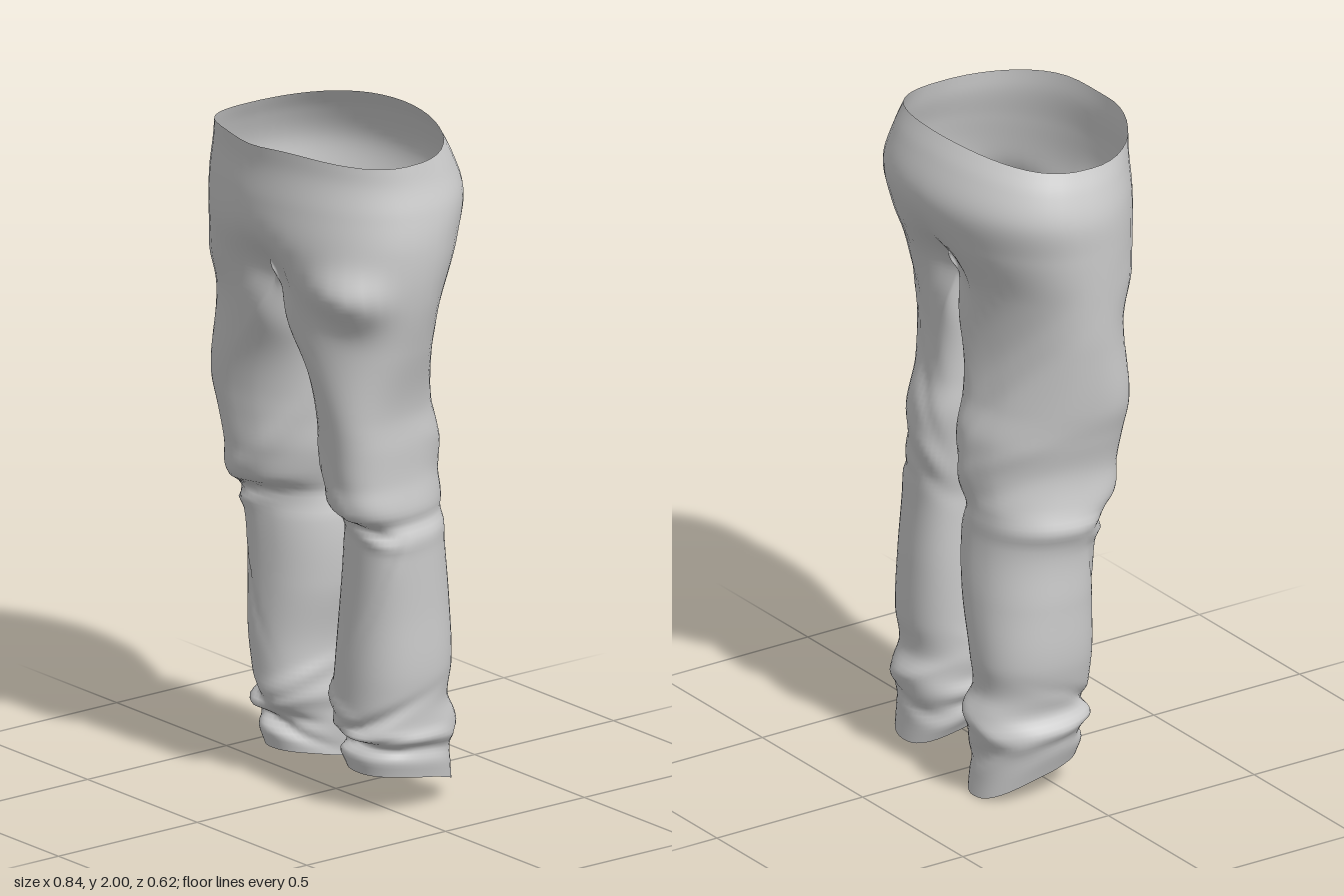
import * as THREE from 'three';
import { mergeVertices } from 'three/addons/utils/BufferGeometryUtils.js';

const { smoothstep } = THREE.MathUtils;
const CROTCH = 1.63, HALF = 26, AROUND = HALF * 2;

// y, left outer x, left inner x, right outer x, right inner x, front z, back z
const PROFILE = [
  [0.05, 0.32, 0.06, 0.29, 0.07, 0.08, -0.235],
  [0.11, 0.33, 0.03, 0.31, 0.065, 0.09, -0.23],
  [0.16, 0.32, 0.04, 0.32, 0.06, 0.07, -0.23],
  [0.21, 0.345, 0.02, 0.34, 0.06, 0.105, -0.24],
  [0.26, 0.335, 0.03, 0.31, 0.05, 0.11, -0.245],
  [0.32, 0.335, 0.02, 0.32, 0.06, 0.11, -0.22],
  [0.42, 0.345, 0.025, 0.34, 0.06, 0.11, -0.23],
  [0.60, 0.345, 0.03, 0.345, 0.025, 0.105, -0.23],
  [0.79, 0.35, 0.035, 0.35, 0.02, 0.105, -0.22],
  [0.84, 0.35, 0.035, 0.37, 0.03, 0.105, -0.22],
  [0.875, 0.335, 0.03, 0.36, 0.04, 0.12, -0.22],
  [0.905, 0.345, 0.025, 0.355, 0.035, 0.16, -0.225],
  [1.00, 0.335, 0.015, 0.345, 0.01, 0.18, -0.23],
  [1.10, 0.335, 0.003, 0.365, 0.003, 0.19, -0.23],
  [1.20, 0.335, 0, 0.39, 0, 0.20, -0.205],
  [1.40, 0.38, 0, 0.41, 0, 0.22, -0.195],
  [1.55, 0.41, 0, 0.415, 0, 0.255, -0.22],
  [1.70, 0.42, 0, 0.42, 0, 0.305, -0.285],
  [1.82, 0.405, 0, 0.42, 0, 0.31, -0.315],
  [1.92, 0.38, 0, 0.395, 0, 0.305, -0.28],
  [1.98, 0.37, 0, 0.37, 0, 0.31, -0.245],
];
const profile = new THREE.CubicInterpolant(
  PROFILE.map((r) => r[0]), PROFILE.flatMap((r) => r.slice(1)), 6, new Float32Array(6));

// Cloth folds: angle (0 front, PI/2 outer, PI back), height, slope, angular width, height width, strength
const FOLDS = [
  [0.0, 0.905, -0.03, 0.9, 0.02, 0.03],
  [0.1, 0.865, -0.04, 0.9, 0.018, -0.09],
  [0.5, 0.83, -0.02, 0.9, 0.02, 0.06],
  [-0.5, 1.02, -0.20, 0.7, 0.05, 0.05],
  [0.5, 0.65, 0.30, 0.5, 0.03, -0.04],
  [2.9, 1.02, -0.10, 0.9, 0.03, 0.03],
  [3.1, 0.92, -0.08, 0.9, 0.03, -0.04],
  [2.9, 1.20, -0.25, 0.8, 0.05, -0.05],
  [2.7, 1.36, -0.25, 0.7, 0.06, -0.04],
  [-0.8, 0.33, -0.06, 0.8, 0.022, 0.08],
  [0.4, 0.27, 0.07, 0.9, 0.022, -0.10],
  [0.2, 0.21, -0.05, 1.0, 0.022, 0.07],
  [-0.3, 0.15, 0.05, 1.0, 0.02, -0.12],
  [3.0, 0.25, 0.06, 1.0, 0.025, 0.04],
  [3.2, 0.17, -0.05, 1.0, 0.02, -0.06],
];
const gauss = (d) => Math.exp(-d * d);
const wrap = (a) => Math.atan2(Math.sin(a), Math.cos(a));
const power = (v, p) => Math.sign(v) * Math.abs(v) ** p;

// Point on one half of the trousers; side is +1 for left and -1 for right
function clothPoint(side, y, angle, seam) {
  const [outL, inL, outR, inR, front, back] = profile.evaluate(y);
  const out = side > 0 ? outL : outR, inner = side > 0 ? inL : inR;
  const cx = (out + inner) / 2, cz = (front + back) / 2, depth = (front - back) / 2;
  const s = Math.sin(angle), c = Math.cos(angle);
  const waist = smoothstep(y, 1.7, 1.98), hem = 1 - smoothstep(y, 0.05, 0.3);

  // Half of the hip oval turns gradually into a full leg oval, skewed
  // towards the front outer and back inner corners
  const leg = 1 - smoothstep(y, 1.15, CROTCH);
  const skew = 0.08 + 0.3 * smoothstep(y, 0.3, 1.0);
  const legX = cx + (out - inner) / 2 * power(Math.sin(angle + skew), 0.88);
  const hipZ = power(c, c < 0 ? 0.94 - 0.16 * waist : 0.96);
  let x = THREE.MathUtils.lerp(out * Math.max(s, 0), legX, leg);
  let z = cz + depth * THREE.MathUtils.lerp(hipZ, power(c, 0.88), leg);

  // Hollow along the centre seam at the crotch
  z = cz + (z - cz) * (1 - 0.22 * gauss(x / 0.08) * gauss((y - 1.58) / 0.1));

  // Folds, plus the bulge at the front pocket
  let push = (side > 0 ? 0.32 : 0.1) * gauss((angle - 0.82) / 0.32) * gauss((y - 1.57) / 0.08);
  for (const [a, h, slope, aw, hw, amount] of FOLDS) {
    const d = wrap(angle - a), shift = side > 0 ? 0 : -0.015;
    push += amount * gauss(d / aw) * gauss((y - h - shift - slope * d) / hw);
  }
  x += (x - cx) * push;
  z += (z - cz) * push;
  if (seam) x = 0;
  else x = Math.max(x, 0);

  // Wavy waist, sagging crotch curve and slanted hem, lower on the right leg
  const rise = (0.045 * c * c - 0.025 - 0.015 * gauss(angle / 0.3)) * waist;
  const sag = s < 0 ? 0.12 * s * smoothstep(y, 1.2, CROTCH) : 0;
  const tilt = side > 0 ? 0.045 + 0.035 * c : 0.01 + 0.045 * c;
  const slant = (tilt - 0.01 * Math.cos(2 * angle)) * hem;
  return [side * x, y + rise + sag + slant, z];
}

function createTrousers() {
  const positions = [], indices = [];

  // Adds a sheet of rows from yTop to yBottom, around the given number of steps
  function addSheet(side, yTop, yBottom, rows, steps) {
    const start = positions.length / 3;
    for (let i = 0; i <= rows; i++) {
      const y = THREE.MathUtils.lerp(yTop, yBottom, i / rows);
      for (let j = 0; j <= steps; j++) {
        const seam = y > CROTCH - 1e-6 && (j === 0 || j >= HALF);
        positions.push(...clothPoint(side, y, (j % AROUND) / HALF * Math.PI, seam));
      }
    }
    for (let i = 0; i < rows; i++) for (let j = 0; j < steps; j++) {
      const a = start + i * (steps + 1) + j, b = a + 1, c = a + steps + 1, d = c + 1;
      if (side > 0) indices.push(a, c, b, b, c, d);
      else indices.push(a, b, c, b, d, c);
    }
  }

  for (const side of [1, -1]) {
    addSheet(side, 1.98, CROTCH, 26, HALF);      // hip half
    addSheet(side, CROTCH, 0.05, 110, AROUND);   // leg
  }
  let geometry = new THREE.BufferGeometry();
  geometry.setAttribute('position', new THREE.Float32BufferAttribute(positions, 3));
  geometry.setIndex(indices);
  geometry = mergeVertices(geometry, 1e-5);
  geometry.computeVertexNormals();
  return geometry;
}

export function createModel() {
  const model = new THREE.Group();
  model.name = 'trousers';
  const cloth = new THREE.Mesh(createTrousers(), new THREE.MeshStandardMaterial({
    color: 0xcccccc, side: THREE.DoubleSide,
  }));
  cloth.name = 'hipsAndLegs';
  model.add(cloth);
  return model;
}
